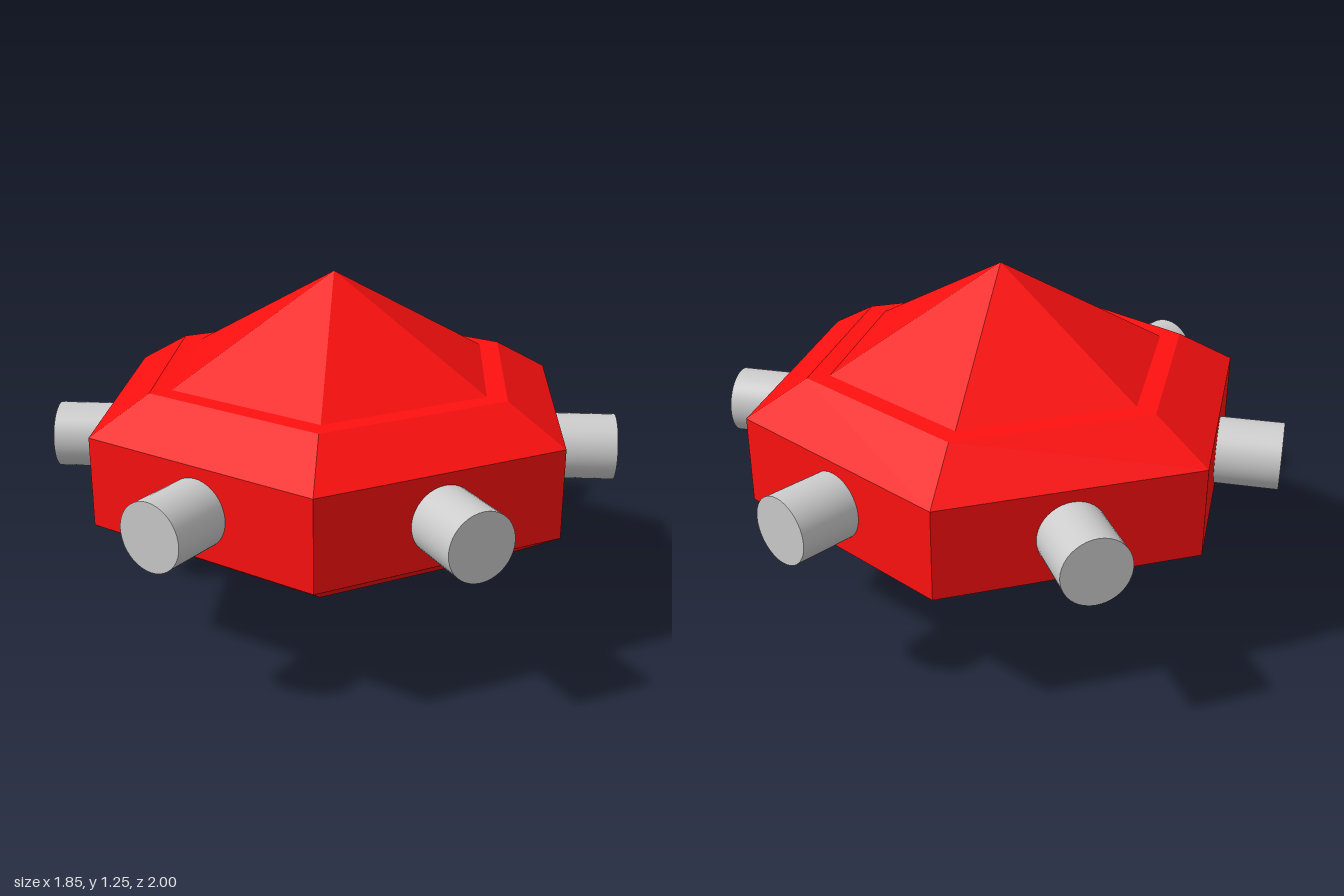
import * as THREE from 'three';

export function createModel() {
  const model = new THREE.Group();
  model.name = 'hexagonalGem';
  const red = new THREE.MeshStandardMaterial({ color: 0xff1010, flatShading: true });
  const grey = new THREE.MeshStandardMaterial({ color: 0xcccccc });
  const midY = 0.625;

  // Six-sided body: half profile as [radius, height above the middle], mirrored below
  const half = [[0.9, 0.157], [0.685, 0.28], [0.607, 0.28], [0, 0.625]];
  const profile = [
    ...[...half].reverse().map(([r, h]) => new THREE.Vector2(r, midY - h)),
    ...half.map(([r, h]) => new THREE.Vector2(r, midY + h)),
  ];
  const body = new THREE.Mesh(new THREE.LatheGeometry(profile, 6, Math.PI / 2), red);
  body.name = 'body';
  model.add(body);

  // One round peg in the middle of each side face
  const inner = 0.7, outer = 1;
  const pegGeometry = new THREE.CylinderGeometry(0.117, 0.117, outer - inner, 40);
  pegGeometry.rotateX(Math.PI / 2);
  pegGeometry.translate(0, midY, (inner + outer) / 2);
  for (let i = 0; i < 6; i++) {
    const peg = new THREE.Mesh(pegGeometry, grey);
    peg.name = `peg${i + 1}`;
    peg.rotation.y = i * Math.PI / 3;
    model.add(peg);
  }
  return model;
}
